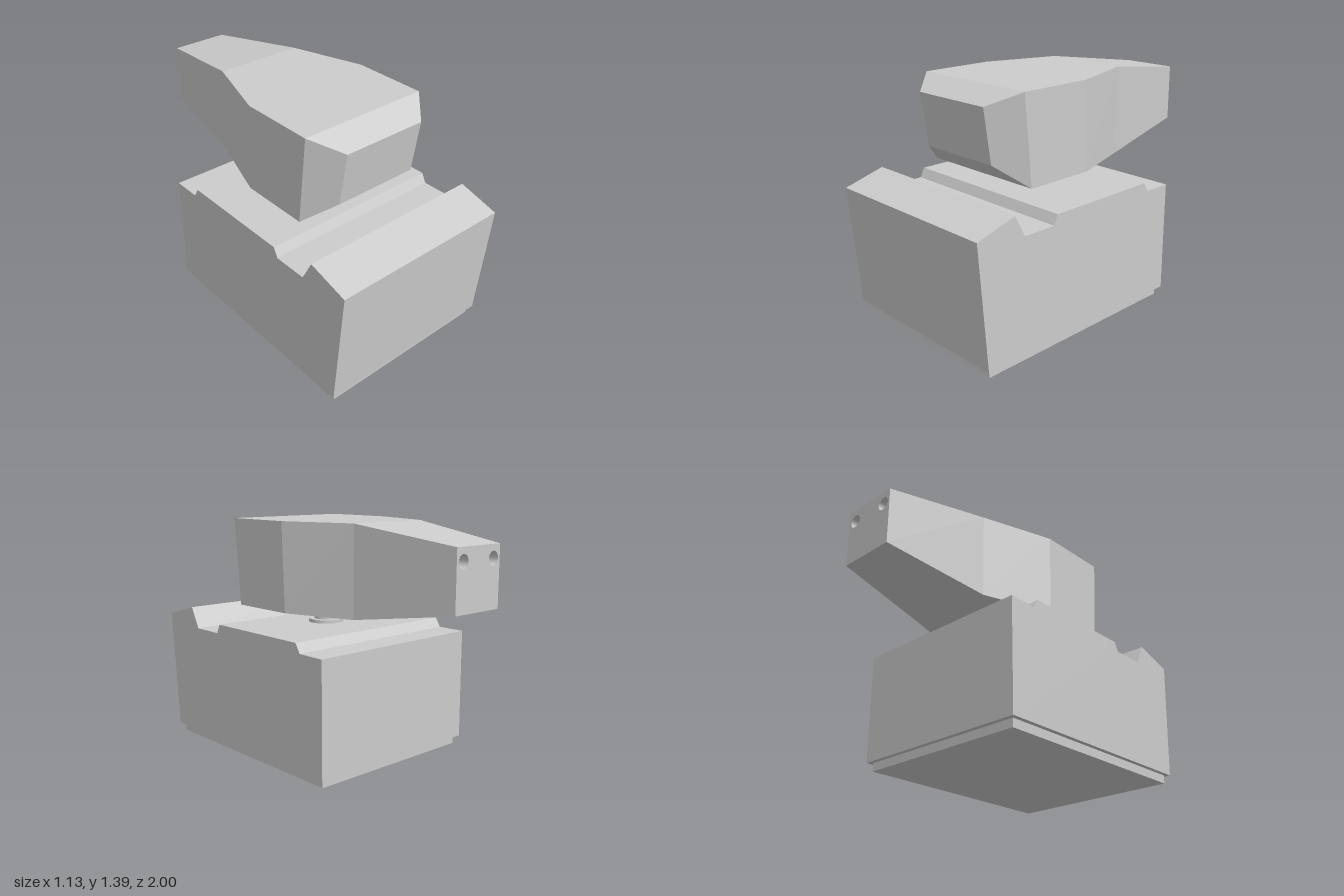
import * as THREE from 'three';

const grey = new THREE.MeshStandardMaterial({ color: 0xcccccc, side: THREE.DoubleSide });
grey.name = 'light grey';

const HEAD_X = -0.0075;

function add(parent, name, geometry, x = 0, y = 0, z = 0) {
  const mesh = new THREE.Mesh(geometry, grey);
  mesh.name = name;
  mesh.position.set(x, y, z);
  parent.add(mesh);
  return mesh;
}

// Side outline given as [z, y], swept across the width
function sideExtrude(profile, width) {
  const shape = new THREE.Shape(profile.map(([z, y]) => new THREE.Vector2(-z, y)));
  const geometry = new THREE.ExtrudeGeometry(shape, { depth: width, bevelEnabled: false });
  geometry.translate(0, 0, -width / 2);
  return geometry.rotateY(Math.PI / 2);
}

// Four-cornered sections from front to back, joined by flat faces; the back stays open
function loft(sections) {
  const rings = sections.map(({ w, top, bottom }) => [
    [-w, bottom[1], bottom[0]], [w, bottom[1], bottom[0]],
    [w, top[1], top[0]], [-w, top[1], top[0]],
  ]);
  const points = [];
  const quad = (a, b, c, d) => points.push(...a, ...b, ...c, ...a, ...c, ...d);
  quad(...rings[0]);
  for (let i = 0; i < rings.length - 1; i++) {
    for (let j = 0; j < 4; j++) {
      const k = (j + 1) % 4;
      quad(rings[i][j], rings[i + 1][j], rings[i + 1][k], rings[i][k]);
    }
  }
  const geometry = new THREE.BufferGeometry();
  geometry.setAttribute('position', new THREE.Float32BufferAttribute(points, 3));
  geometry.computeVertexNormals();
  return geometry;
}

export function createModel() {
  const model = new THREE.Group();
  model.name = 'model';

  // Base: recessed foot and body with a raised front lip and a stepped top
  add(model, 'foot', new THREE.BoxGeometry(1.08, 0.05, 1.355), 0, 0.025, 0.2425);
  add(model, 'baseBody', sideExtrude([
    [0.945, 0.05], [1, 0.77], [0.755, 0.84], [0.69, 0.715], [0.485, 0.715],
    [0.457, 0.77], [-0.253, 0.77], [-0.287, 0.715], [-0.463, 0.715], [-0.463, 0.05],
  ], 1.135));

  // Swivel neck
  add(model, 'neckFlange', new THREE.CylinderGeometry(0.105, 0.105, 0.02, 40), 0.01, 0.78, 0.13);
  add(model, 'neck', new THREE.CylinderGeometry(0.07, 0.07, 0.1, 40), 0.01, 0.83, 0.132);

  // Head: bevelled front, tapering rear
  const head = new THREE.Group();
  head.name = 'head';
  head.position.x = HEAD_X;
  model.add(head);
  add(head, 'headShell', loft([
    { w: 0.262, top: [0.675, 1.315], bottom: [0.63, 1.0] },
    { w: 0.402, top: [0.52, 1.39], bottom: [0.475, 0.87] },
    { w: 0.402, top: [0.07, 1.39], bottom: [0.05, 0.87] },
    { w: 0.262, top: [-0.37, 1.39], bottom: [-0.37, 0.87] },
    { w: 0.172, top: [-1, 1.3], bottom: [-1, 0.96] },
  ]));

  // Rear plate with two round sockets
  const plate = new THREE.Shape([[-0.172, 0.96], [0.172, 0.96], [0.172, 1.3], [-0.172, 1.3]]
    .map(([x, y]) => new THREE.Vector2(x, y)));
  const radius = 0.038, depth = 0.1, socketY = 1.227;
  for (const x of [-0.12, 0.12]) {
    plate.holes.push(new THREE.Path().absarc(x, socketY, radius, 0, Math.PI * 2, true));
    const wall = new THREE.CylinderGeometry(radius, radius, depth, 24, 1, true).rotateX(Math.PI / 2);
    add(head, 'socketWall', wall, x, socketY, -1 + depth / 2);
    add(head, 'socketEnd', new THREE.CircleGeometry(radius, 24).rotateY(Math.PI), x, socketY, -1 + depth);
  }
  add(head, 'rearPlate', new THREE.ShapeGeometry(plate, 12).rotateY(Math.PI), 0, 0, -1);

  return model;
}
